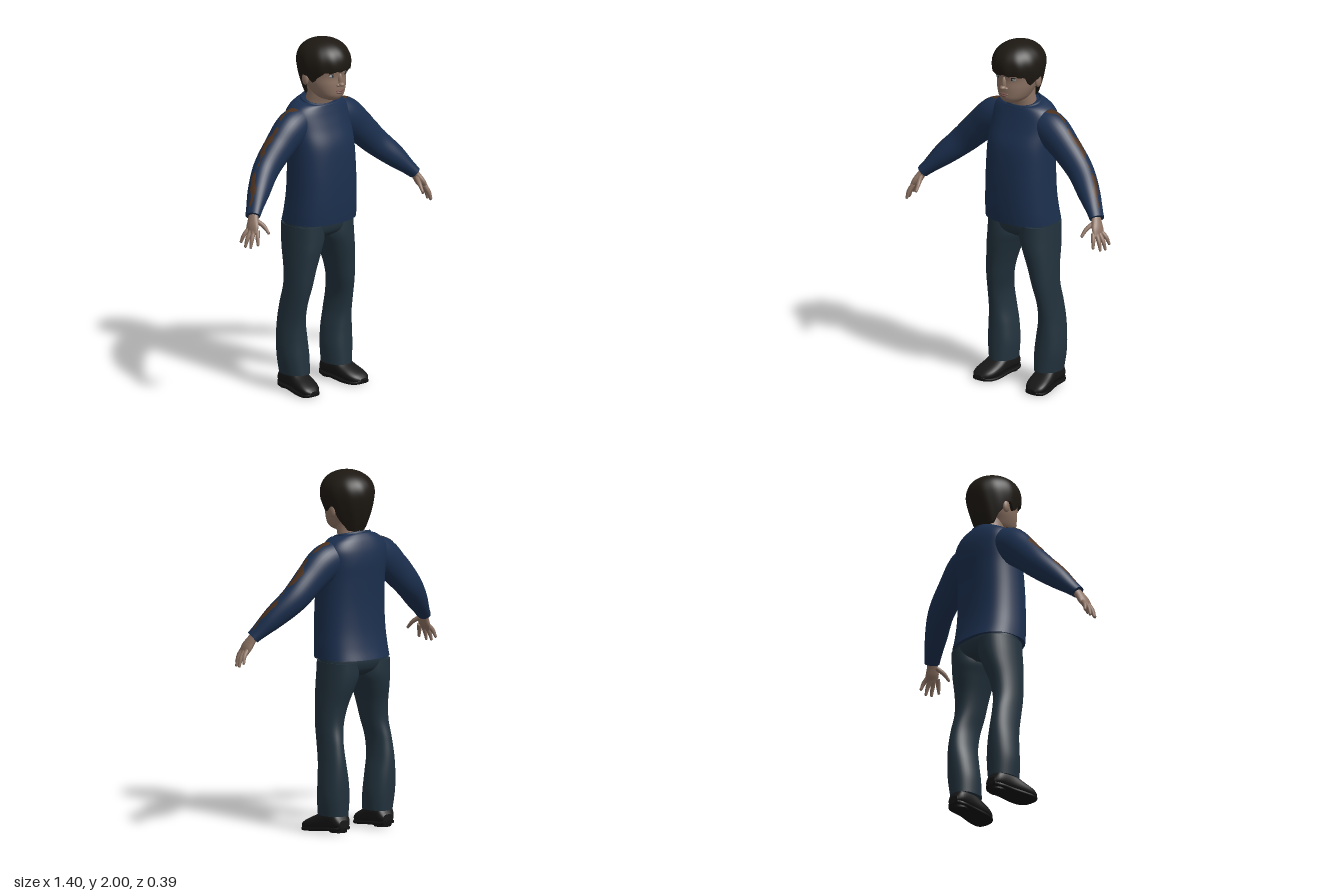
import * as THREE from 'three';

const paint = (color) => new THREE.MeshStandardMaterial({ color, side: THREE.DoubleSide });

// Blends the columns of a section table smoothly, t from 0 to 1
function sample(rows, t) {
  const f = t * (rows.length - 1), i = Math.min(Math.floor(f), rows.length - 2), k = f - i;
  const r = (j) => rows[Math.max(0, Math.min(rows.length - 1, j))];
  return rows[0].map((_, c) => {
    const a = r(i - 1)[c], b = r(i)[c], d = r(i + 1)[c], e = r(i + 2)[c];
    return b + 0.5 * k * (d - a + k * (2 * a - 5 * b + 4 * d - e + k * (3 * (b - d) + e - a)));
  });
}

// Surface from point(angle, t); closed round the angle unless a sector is given
function skin(point, nu, nv, { caps = false, sector = null } = {}) {
  const pos = [], idx = [], cols = sector ? nu + 1 : nu;
  for (let j = 0; j <= nv; j++) for (let i = 0; i < cols; i++) {
    const a = sector ? sector[0] + (sector[1] - sector[0]) * i / nu : i / nu * Math.PI * 2;
    pos.push(...point(a, j / nv));
  }
  for (let j = 0; j < nv; j++) for (let i = 0; i < nu; i++) {
    const k = (i + 1) % cols, a = j * cols + i, b = j * cols + k;
    idx.push(a, b, b + cols, a, b + cols, a + cols);
  }
  if (caps) for (const j of [0, nv]) {
    const ring = pos.slice(j * cols * 3, (j + 1) * cols * 3), base = pos.length / 3, c = [0, 0, 0];
    ring.forEach((v, q) => { c[q % 3] += v / cols; });
    pos.push(...ring, ...c);
    for (let i = 0; i < cols; i++) {
      const k = base + (i + 1) % cols;
      idx.push(base + cols, ...(j ? [base + i, k] : [k, base + i]));
    }
  }
  const g = new THREE.BufferGeometry();
  g.setAttribute('position', new THREE.Float32BufferAttribute(pos, 3));
  g.setIndex(idx);
  g.computeVertexNormals();
  return g;
}

const bulge = (v, p) => Math.sign(v) * Math.abs(v) ** (2 / p);

// Upright loft; rows are [y, x centre, x radius, front z, back z], tilt lowers the front
function loft(rows, p = 2, nu = 40, nv = 40, tilt = () => 0) {
  return skin((a, t) => {
    const [y, cx, rx, zf, zb] = sample(rows, t);
    return [cx + rx * bulge(Math.sin(a), p), y - tilt(t) * Math.cos(a),
      (zf + zb) / 2 + (zf - zb) / 2 * bulge(Math.cos(a), p)];
  }, nu, nv, { caps: true });
}

// Limb along a path; rows are [x, y, z, thickness radius, width radius]
function limbPoint(rows, grow = 1) {
  const path = new THREE.CatmullRomCurve3(rows.map((r) => new THREE.Vector3(r[0], r[1], r[2])));
  return (a, t) => {
    const c = path.getPoint(t), d = path.getTangent(t), s = sample(rows, t);
    const n = new THREE.Vector3(0, 0, 1).cross(d).normalize(), b = d.clone().cross(n);
    return c.addScaledVector(n, s[3] * grow * Math.cos(a)).addScaledVector(b, s[4] * grow * Math.sin(a)).toArray();
  };
}
const limb = (rows, nu = 24, nv = 28) => skin(limbPoint(rows), nu, nv, { caps: true });

function mirrored(geo) {
  const g = geo.clone().scale(-1, 1, 1), ix = g.index.array;
  for (let i = 0; i < ix.length; i += 3) [ix[i], ix[i + 1]] = [ix[i + 1], ix[i]];
  return g;
}

export function createModel() {
  const model = new THREE.Group();
  const sweaterMat = paint(0x1b2f4e), jeansMat = paint(0x22323d), skinMat = paint(0x8c7263);
  const hairMat = paint(0x1d1812), shoeMat = paint(0x181718), soleMat = paint(0x0f0f10);
  const rustMat = paint(0x4b301d), eyeMat = paint(0x8d969c), irisMat = paint(0x1d2a33), lipMat = paint(0x74524a);
  const add = (name, geo, mat) => {
    const m = new THREE.Mesh(geo, mat);
    m.name = name;
    model.add(m);
  };
  const pair = (name, geo, mat) => {
    add(name + 'Left', geo, mat);
    add(name + 'Right', mirrored(geo), mat);
  };
  const ball = (x, y, z, rx, ry, rz) => new THREE.SphereGeometry(1, 20, 14).scale(rx, ry, rz).translate(x, y, z);

  // Sweater body with a neckline that dips at the front
  add('sweaterBody', loft([
    [0.965, 0, 0.213, 0.152, -0.188], [1.03, 0, 0.21, 0.157, -0.172], [1.13, 0, 0.204, 0.16, -0.158],
    [1.26, 0, 0.2, 0.157, -0.153], [1.4, 0, 0.198, 0.143, -0.158], [1.5, 0, 0.2, 0.108, -0.163],
    [1.57, 0, 0.2, 0.083, -0.156], [1.615, 0, 0.175, 0.07, -0.14], [1.64, 0, 0.135, 0.064, -0.12],
    [1.645, 0, 0.105, 0.06, -0.108]], 2.4, 56, 48, (t) => 0.02 * Math.max(0, t - 0.7) / 0.3), sweaterMat);
  const collar = new THREE.TorusGeometry(1, 0.085, 10, 48).rotateX(Math.PI / 2).scale(0.103, 0.12, 0.083);
  add('collar', collar.rotateX(0.24).translate(0, 1.644, -0.024), sweaterMat);

  // Sleeves, each with a ragged rust-coloured stripe
  const sleeve = [[0.09, 1.55, -0.035, 0.085, 0.085], [0.2, 1.505, -0.025, 0.102, 0.088],
    [0.3, 1.425, -0.02, 0.09, 0.078], [0.41, 1.322, -0.008, 0.078, 0.07],
    [0.51, 1.227, 0.04, 0.063, 0.062], [0.615, 1.118, 0.1, 0.034, 0.045]];
  pair('sleeve', limb(sleeve, 32, 40), sweaterMat);
  const onSleeve = limbPoint(sleeve, 1.015);
  pair('sleeveStripe', skin((a, t) => {
    const s = 0.1 + 0.9 * t, w = 0.16 + 0.13 * Math.sin(s * 17) + 0.06 * Math.sin(s * 61);
    return onSleeve(a * w + 0.12 * Math.sin(s * 23), s * 0.98);
  }, 6, 60, { sector: [-1, 1] }), rustMat);

  // Hands
  pair('palm', limb([[0.597, 1.14, 0.09, 0.022, 0.028], [0.62, 1.1, 0.108, 0.021, 0.034],
    [0.638, 1.065, 0.122, 0.02, 0.042], [0.655, 1.03, 0.133, 0.012, 0.038]], 20, 14), skinMat);
  const fingers = {
    thumb: [[0.608, 1.095, 0.125], [0.592, 1.068, 0.165], [0.585, 1.035, 0.195]],
    indexFinger: [[0.636, 1.05, 0.16], [0.65, 1.015, 0.176], [0.657, 0.98, 0.186]],
    middleFinger: [[0.648, 1.045, 0.143], [0.671, 1.005, 0.152], [0.683, 0.965, 0.156]],
    ringFinger: [[0.652, 1.045, 0.123], [0.678, 1.005, 0.124], [0.691, 0.965, 0.122]],
    littleFinger: [[0.65, 1.05, 0.103], [0.677, 1.02, 0.095], [0.69, 0.985, 0.086]],
  };
  for (const [name, [a, b, c]] of Object.entries(fingers)) {
    pair(name, limb([[...a, 0.013, 0.013], [...b, 0.012, 0.012], [...c, 0.008, 0.008]], 12, 8), skinMat);
    pair(name + 'Tip', ball(...c, 0.008, 0.009, 0.008), skinMat);
  }

  // Jeans
  add('jeansSeat', loft([[0.865, 0, 0.1, 0.04, -0.09], [0.9, 0, 0.192, 0.09, -0.145],
    [0.96, 0, 0.206, 0.104, -0.166], [1.03, 0, 0.198, 0.1, -0.145]], 2.3, 40, 12), jeansMat);
  const leg = [[0.95, 0.015, 0.208, 0.1, -0.163], [0.87, 0.012, 0.212, 0.103, -0.16], [0.8, 0.038, 0.215, 0.1, -0.146],
    [0.7, 0.072, 0.22, 0.087, -0.118], [0.6, 0.098, 0.224, 0.075, -0.11], [0.5, 0.118, 0.228, 0.055, -0.13],
    [0.4, 0.113, 0.235, 0.038, -0.146], [0.3, 0.093, 0.244, 0.035, -0.15], [0.2, 0.081, 0.246, 0.04, -0.146],
    [0.1, 0.085, 0.232, 0.046, -0.138]];
  pair('trouserLeg', loft(leg.reverse().map(([y, i, o, f, b]) => [y, (i + o) / 2, (o - i) / 2, f, b]), 2.2, 36, 50), jeansMat);

  // Shoes; rows are [z, x centre, half width, bottom, top]
  const shoe = [[-0.142, 0.158, 0.036, 0.035, 0.08], [-0.11, 0.16, 0.058, 0.026, 0.125], [-0.03, 0.165, 0.06, 0.02, 0.135],
    [0.04, 0.173, 0.067, 0.012, 0.098], [0.09, 0.18, 0.066, 0.008, 0.074], [0.125, 0.186, 0.052, 0.007, 0.054],
    [0.145, 0.189, 0.026, 0.012, 0.034]];
  const shoeGeo = (rows, p) => skin((a, t) => {
    const [z, cx, w, lo, hi] = sample(rows, t);
    return [cx + w * bulge(Math.cos(a), p), (lo + hi) / 2 + (hi - lo) / 2 * bulge(Math.sin(a), p), z];
  }, 28, 28, { caps: true });
  pair('shoe', shoeGeo(shoe, 2.4), shoeMat);
  pair('sole', shoeGeo(shoe.map(([z, x, w, lo]) => [z, x, w * 1.06, lo - 0.007, lo + 0.012]), 5), soleMat);
  pair('heel', new THREE.CylinderGeometry(0.05, 0.048, 0.025, 24).translate(0.159, 0.022, -0.091), soleMat);

  // Neck and head
  add('neck', loft([[1.58, 0, 0.088, 0.045, -0.092], [1.64, 0, 0.08, 0.058, -0.086], [1.69, 0, 0.076, 0.075, -0.08],
    [1.74, 0, 0.075, 0.075, -0.08]], 2, 32, 12), skinMat);
  add('head', loft([[1.662, 0, 0.03, 0.115, 0.03], [1.674, 0, 0.056, 0.136, -0.01], [1.695, 0, 0.078, 0.15, -0.04],
    [1.725, 0, 0.094, 0.153, -0.06], [1.76, 0, 0.107, 0.153, -0.09], [1.8, 0, 0.115, 0.15, -0.11],
    [1.85, 0, 0.12, 0.158, -0.12], [1.9, 0, 0.12, 0.148, -0.12], [1.95, 0, 0.09, 0.11, -0.09],
    [1.975, 0, 0.04, 0.05, -0.04]], 2.1, 44, 44), skinMat);
  pair('ear', ball(0.122, 1.785, 0.0, 0.014, 0.036, 0.023).rotateY(-0.02), skinMat);

  // Facial features
  add('noseBridge', ball(0, 1.785, 0.148, 0.013, 0.04, 0.018), skinMat);
  add('noseTip', ball(0, 1.761, 0.16, 0.017, 0.013, 0.021), skinMat);
  pair('nostril', ball(0.016, 1.757, 0.15, 0.011, 0.009, 0.014), skinMat);
  add('upperLip', ball(0, 1.723, 0.15, 0.03, 0.006, 0.012), lipMat);
  add('lowerLip', ball(0, 1.712, 0.149, 0.025, 0.007, 0.012), lipMat);
  pair('eye', ball(0.047, 1.812, 0.134, 0.021, 0.009, 0.009), eyeMat);
  pair('iris', ball(0.046, 1.812, 0.139, 0.008, 0.008, 0.006), irisMat);
  pair('eyelid', ball(0.047, 1.821, 0.135, 0.024, 0.004, 0.011), hairMat);
  pair('eyebrow', new THREE.CapsuleGeometry(0.005, 0.04, 4, 10).rotateZ(Math.PI / 2 + 0.15).rotateY(0.28)
    .translate(0.047, 1.835, 0.143), hairMat);

  // Hair cap: fringe, sideburns, cut-out round the ears, and nape
  const hairline = [1.838, 1.838, 1.835, 1.822, 1.775, 1.808, 1.76, 1.7, 1.672, 1.66, 1.66].map((y) => [y]);
  add('hair', skin((a, t) => {
    const side = Math.abs(a > Math.PI ? a - 2 * Math.PI : a) / Math.PI;
    const low = sample(hairline, side)[0] + 0.005 * Math.sin(a * 15);
    const v = Math.max(0, t - 0.04) / 0.96;
    const y = low + (2 - low) * Math.sin(v * Math.PI / 2);
    const d = (y - 1.87) / (y > 1.87 ? 0.13 : 0.2);
    let r = d > 0 ? Math.sqrt(Math.max(0, 1 - d ** 2.3)) : 1 - 0.37 * (-d) ** 1.5;
    r *= 1 + 0.012 * Math.sin(a * 11 + y * 20) * (1 - v);
    if (t === 0) r *= 0.84;
    return [0.143 * r * Math.sin(a), y, 0.02 + (Math.cos(a) > 0 ? 0.16 : 0.163) * r * Math.cos(a)];
  }, 72, 36), hairMat);

  return model;
}
